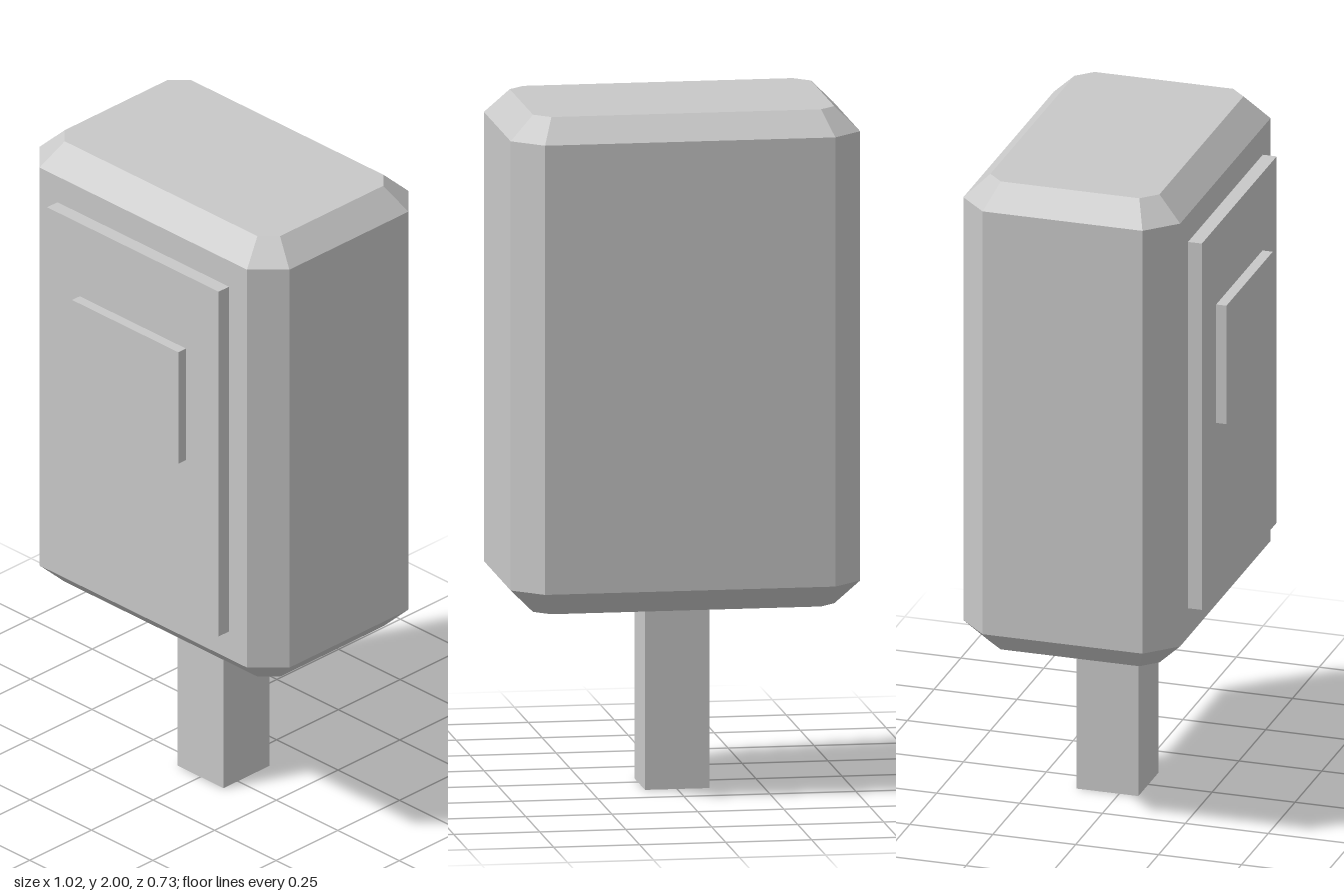
import * as THREE from 'three';

// Chamfered octagonal outline: half width w, half depth d, corner cut c
function ring(w, d, c, y) {
  return [
    [w, -d + c], [w, d - c], [w - c, d], [-w + c, d],
    [-w, d - c], [-w, -d + c], [-w + c, -d], [w - c, -d],
  ].map(([x, z]) => [x, y, z]);
}

// Skin a stack of rings (bottom to top) and cap both ends, with flat faces
function loft(rings) {
  const pos = [];
  const tri = (a, b, c) => pos.push(...a, ...b, ...c);
  const n = rings[0].length;
  for (let r = 0; r < rings.length - 1; r++) {
    for (let i = 0; i < n; i++) {
      const j = (i + 1) % n;
      const lo = rings[r], hi = rings[r + 1];
      tri(lo[i], hi[i], hi[j]);
      tri(lo[i], hi[j], lo[j]);
    }
  }
  const bottom = rings[0], top = rings[rings.length - 1];
  for (let i = 1; i < n - 1; i++) {
    tri(bottom[0], bottom[i], bottom[i + 1]);
    tri(top[0], top[i + 1], top[i]);
  }
  const geo = new THREE.BufferGeometry();
  geo.setAttribute('position', new THREE.Float32BufferAttribute(pos, 3));
  geo.computeVertexNormals();
  return geo;
}

export function createModel() {
  const group = new THREE.Group();
  const grey = new THREE.MeshStandardMaterial({ color: 0xc8c8c8 });
  grey.name = 'light grey';

  const add = (name, geo, x, y, z) => {
    const mesh = new THREE.Mesh(geo, grey);
    mesh.name = name;
    mesh.position.set(x, y, z);
    group.add(mesh);
  };
  // Box given by its width and its y and z ranges
  const box = (name, w, y0, y1, z0, z1) =>
    add(name, new THREE.BoxGeometry(w, y1 - y0, z1 - z0), 0, (y0 + y1) / 2, (z0 + z1) / 2);

  // Housing with every edge chamfered
  add('housing', loft([
    ring(0.438, 0.255, 0.046, 0.55),
    ring(0.508, 0.327, 0.086, 0.62),
    ring(0.508, 0.327, 0.086, 1.93),
    ring(0.438, 0.255, 0.046, 2.0),
  ]), 0, 0, -0.037);

  // Square post, raised door and the plate on it
  box('post', 0.187, 0, 0.56, -0.129, 0.058);
  box('doorPanel', 0.698, 0.71, 1.845, 0.28, 0.332);
  box('displayPlate', 0.432, 1.238, 1.605, 0.325, 0.363);

  return group;
}
